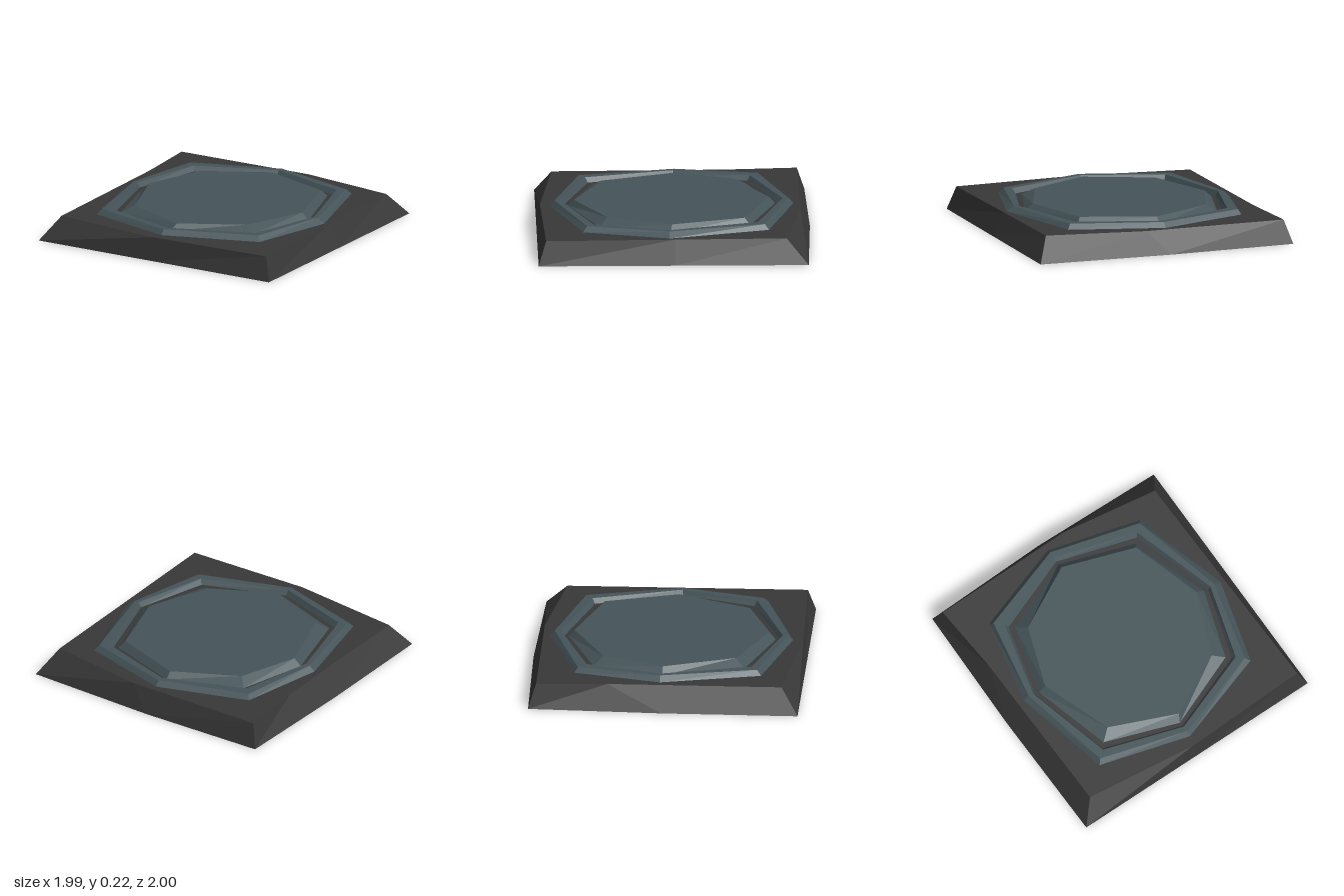
import * as THREE from 'three';

// Outlines as [x, z] corners, starting at the back and running clockwise from above.
const baseFoot = [[-0.02, -1], [0.99, -0.975], [0.99, 0], [0.99, 1], [0, 1], [-0.98, 1], [-0.995, 0], [-0.98, -0.975]];
const baseRim = [[0.15, -0.93], [0.89, -0.815], [0.91, 0], [0.935, 0.945], [-0.01, 0.975], [-0.86, 0.875], [-0.885, -0.4], [-0.925, -0.92]];
const ringFoot = [[-0.02, -0.88], [0.67, -0.69], [0.88, 0.04], [0.71, 0.67], [0.01, 0.9], [-0.66, 0.71], [-0.83, -0.02], [-0.695, -0.655]];
const ringOuter = [[-0.02, -0.845], [0.645, -0.66], [0.825, 0.04], [0.68, 0.64], [0.01, 0.868], [-0.635, 0.68], [-0.787, -0.02], [-0.675, -0.63]];
const ringInner = [[-0.02, -0.8], [0.59, -0.61], [0.79, 0.04], [0.63, 0.595], [0.01, 0.825], [-0.58, 0.635], [-0.75, -0.01], [-0.615, -0.57]];
const grooveEdge = [[-0.02, -0.772], [0.573, -0.59], [0.77, 0.04], [0.61, 0.575], [0.01, 0.803], [-0.565, 0.615], [-0.732, -0.01], [-0.595, -0.552]];
const slabFoot = [[-0.02, -0.745], [0.545, -0.555], [0.74, 0.03], [0.575, 0.545], [0.01, 0.773], [-0.535, 0.58], [-0.7, -0.01], [-0.557, -0.525]];
const slabTop = [[-0.02, -0.7], [0.515, -0.515], [0.68, 0.02], [0.49, 0.49], [0.035, 0.725], [-0.455, 0.515], [-0.645, -0.01], [-0.49, -0.455]];

const FLOOR = 0.175, RING = 0.212, TOP = 0.223;

// Faceted strip of quads joining two outlines.
function band(a, ya, b, yb) {
  const pos = [];
  a.forEach((p, i) => {
    const j = (i + 1) % a.length;
    const ai = [p[0], ya, p[1]], aj = [a[j][0], ya, a[j][1]];
    const bi = [b[i][0], yb, b[i][1]], bj = [b[j][0], yb, b[j][1]];
    pos.push(...aj, ...ai, ...bi, ...aj, ...bi, ...bj);
  });
  const g = new THREE.BufferGeometry();
  g.setAttribute('position', new THREE.Float32BufferAttribute(pos, 3));
  g.computeVertexNormals();
  return g;
}

// Flat horizontal face, optionally with an opening.
function plate(outline, y, hole) {
  const pts = (o) => o.map(([x, z]) => new THREE.Vector2(x, -z));
  const shape = new THREE.Shape(pts(outline));
  if (hole) shape.holes.push(new THREE.Path(pts(hole)));
  return new THREE.ShapeGeometry(shape).rotateX(-Math.PI / 2).translate(0, y, 0);
}

export function createModel() {
  const stone = new THREE.MeshStandardMaterial({ color: 0x383838, side: THREE.DoubleSide, flatShading: true });
  stone.name = 'dark stone';
  const slate = new THREE.MeshStandardMaterial({ color: 0x455459, side: THREE.DoubleSide, flatShading: true });
  slate.name = 'blue slate';

  const model = new THREE.Group();
  model.name = 'pressurePlate';
  const add = (name, geometry, material) => {
    const mesh = new THREE.Mesh(geometry, material);
    mesh.name = name;
    model.add(mesh);
  };

  // Hollow base, open underneath
  add('baseWalls', band(baseFoot, 0, baseRim, FLOOR), stone);
  add('baseTop', plate(baseRim, FLOOR, ringFoot), stone);
  // Raised octagonal ring
  add('ringOuterSlope', band(ringFoot, FLOOR, ringOuter, RING), slate);
  add('ringTop', band(ringOuter, RING, ringInner, RING), slate);
  add('ringInnerSlope', band(ringInner, RING, grooveEdge, FLOOR), slate);
  // Groove between ring and slab
  add('grooveFloor', plate(grooveEdge, FLOOR, slabFoot), stone);
  // Central slab
  add('slabSlope', band(slabFoot, FLOOR, slabTop, TOP), slate);
  add('slabTop', plate(slabTop, TOP), slate);
  return model;
}
